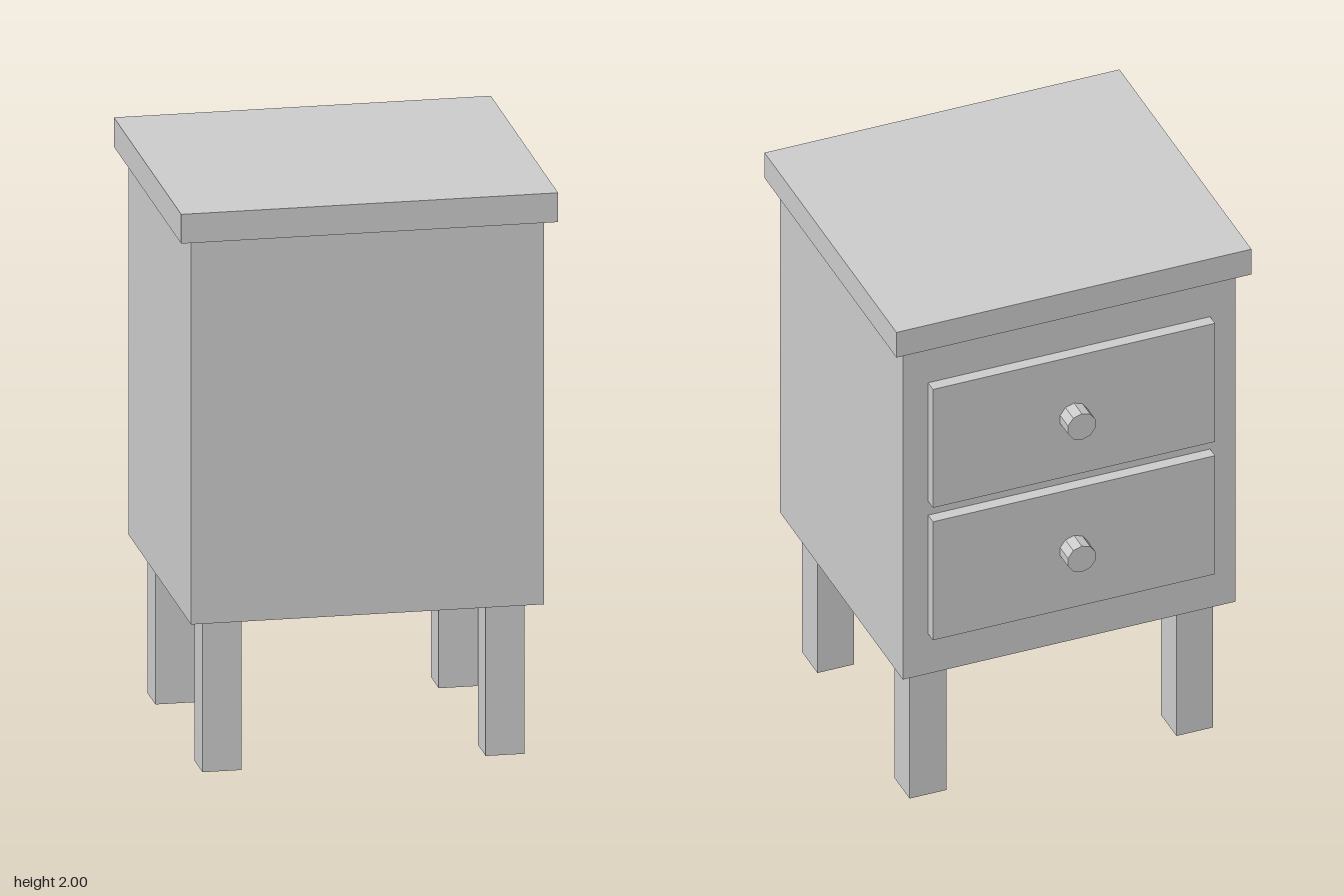
import * as THREE from 'three';

const material = new THREE.MeshStandardMaterial({ color: 0xcccccc, flatShading: true });

// Box given by its extents along each axis
function box(name, [x0, x1], [y0, y1], [z0, z1]) {
  const mesh = new THREE.Mesh(new THREE.BoxGeometry(x1 - x0, y1 - y0, z1 - z0), material);
  mesh.position.set((x0 + x1) / 2, (y0 + y1) / 2, (z0 + z1) / 2);
  mesh.name = name;
  return mesh;
}

export function createModel() {
  const group = new THREE.Group();
  group.name = 'nightstand';

  // Cabinet and overhanging top
  group.add(box('cabinet', [-0.607, 0.607], [0.543, 1.897], [-0.503, 0.578]));
  group.add(box('tabletop', [-0.648, 0.648], [1.897, 2], [-0.546, 0.615]));

  // Four square legs
  for (const [side, x] of [['left', 0.487], ['right', -0.487]]) {
    for (const [end, z] of [['Front', 0.443], ['Back', -0.368]]) {
      const h = 0.067;
      group.add(box(`${side}${end}Leg`, [x - h, x + h], [0, 0.543], [z - h, z + h]));
    }
  }

  // Two drawers with ten-sided knobs, on the -z side
  for (const [level, y] of [['upper', 1.49], ['lower', 0.949]]) {
    const drawer = new THREE.Group();
    drawer.name = `${level}Drawer`;
    drawer.add(box('drawerFront', [-0.515, 0.515], [y - 0.242, y + 0.242], [-0.546, -0.503]));
    const knob = new THREE.Mesh(new THREE.CylinderGeometry(0.053, 0.053, 0.069, 10), material);
    knob.name = 'knob';
    knob.rotation.x = -Math.PI / 2;
    knob.position.set(0, y - 0.002, -0.5805);
    drawer.add(knob);
    group.add(drawer);
  }
  return group;
}
